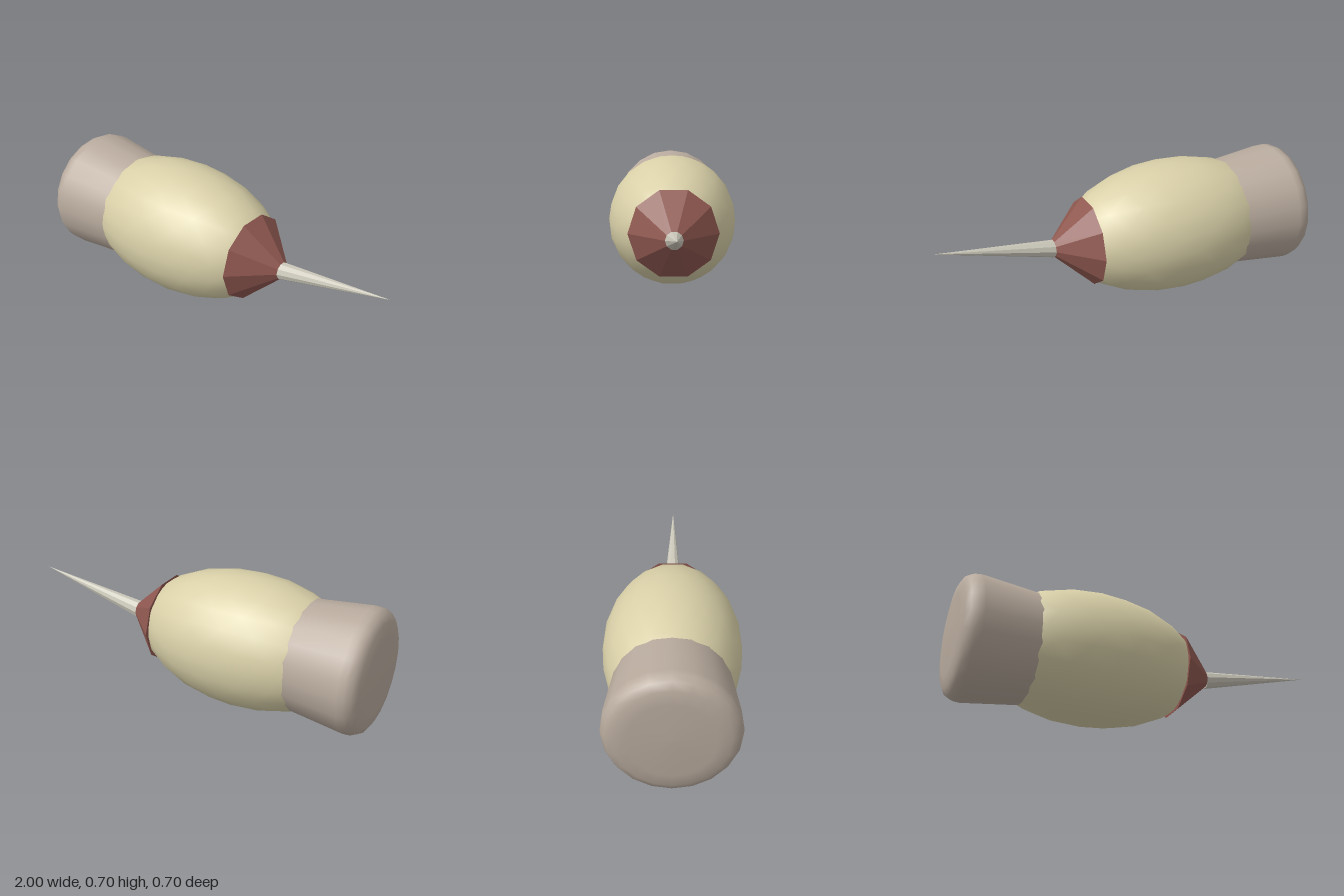
import * as THREE from 'three';

const material = (name, color, flatShading = false) => {
  const m = new THREE.MeshStandardMaterial({ color, flatShading });
  m.name = name;
  return m;
};

export function createModel() {
  const group = new THREE.Group();
  group.name = 'dart';
  const axisY = 0.349;

  // Parts are built along y, then laid along x
  const add = (name, geometry, mat, x, tilt = 0) => {
    const mesh = new THREE.Mesh(geometry.rotateZ(-Math.PI / 2 + tilt), mat);
    mesh.name = name;
    mesh.position.set(x, axisY, 0);
    group.add(mesh);
  };

  // Smooth egg-shaped body
  const body = new THREE.IcosahedronGeometry(1, 3).scale(0.348, 0.6, 0.348);
  add('body', body, material('cream', 0xd9d0a8), -0.28);

  // Rounded tail plug, its narrow end sunk into the body
  const profile = [
    [0, -1], [0.2, -0.996], [0.265, -0.985], [0.3, -0.965],
    [0.317, -0.935], [0.32, -0.9], [0.286, -0.6], [0.265, -0.45],
  ].map(([r, y]) => new THREE.Vector2(r, y));
  add('tailPlug', new THREE.LatheGeometry(profile, 20), material('taupe', 0xb9ab9e), 0);

  // Ten-sided collar
  const collar = new THREE.CylinderGeometry(0.042, 0.233, 0.196, 10);
  add('collar', collar, material('brick red', 0x8f5850, true), 0.288);

  // Needle, tilted slightly upward from the collar
  const length = 0.63;
  const needle = new THREE.ConeGeometry(0.046, length, 10).translate(0, length / 2, 0);
  add('needle', needle, material('bone grey', 0xcbc8ba, true), 0.381, 0.182);

  return group;
}
